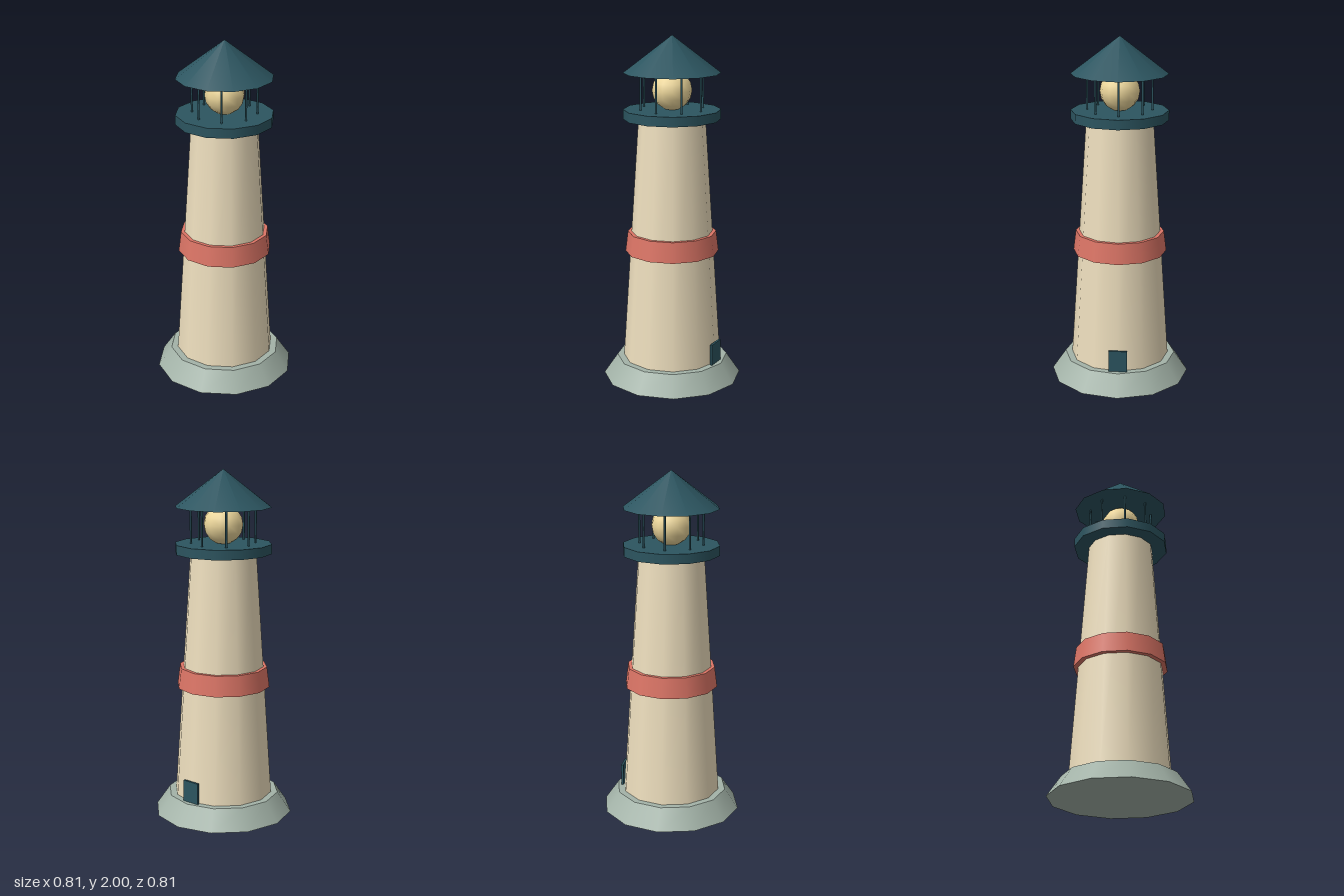
import * as THREE from 'three';

const SIDES = 12;
const paint = (color) => new THREE.MeshStandardMaterial({ color });

export function createModel() {
  const model = new THREE.Group();
  model.name = 'lighthouse';

  const stone = paint(0xa3b3a8);
  const cream = paint(0xeedfbe);
  const red = paint(0xdc7566);
  const teal = paint(0x2c5560);
  const glow = paint(0xeed89c);

  const add = (name, geometry, material, x, y, z, parent = model) => {
    const mesh = new THREE.Mesh(geometry, material);
    mesh.name = name;
    mesh.position.set(x, y, z);
    parent.add(mesh);
    return mesh;
  };

  // Twelve-sided drum between two heights
  const drum = (name, rBottom, rTop, y0, y1, material) =>
    add(name, new THREE.CylinderGeometry(rTop, rBottom, y1 - y0, SIDES), material, 0, (y0 + y1) / 2, 0);

  drum('base', 0.403, 0.324, 0, 0.115, stone);
  drum('tower', 0.285, 0.19, 0.115, 1.53, cream);
  drum('band', 0.27, 0.255, 0.757, 0.875, red);
  drum('gallery', 0.277, 0.277, 1.53, 1.585, teal);

  // Lamp and the ring of posts around it
  add('lamp', new THREE.SphereGeometry(0.113, 12, 8), glow, 0, 1.692, 0);
  const posts = new THREE.Group();
  posts.name = 'posts';
  model.add(posts);
  const postGeometry = new THREE.CylinderGeometry(0.006, 0.006, 0.21, 6);
  for (let i = 0; i < 8; i++) {
    const a = (i / 8) * Math.PI * 2;
    add('post', postGeometry, teal, Math.sin(a) * 0.183, 1.688, Math.cos(a) * 0.183, posts);
  }

  // Roof
  add('roof', new THREE.ConeGeometry(0.275, 0.21, SIDES), teal, 0, 1.895, 0);

  // Door at the back
  add('door', new THREE.BoxGeometry(0.107, 0.135, 0.013), teal, 0, 0.173, -0.288);

  return model;
}
